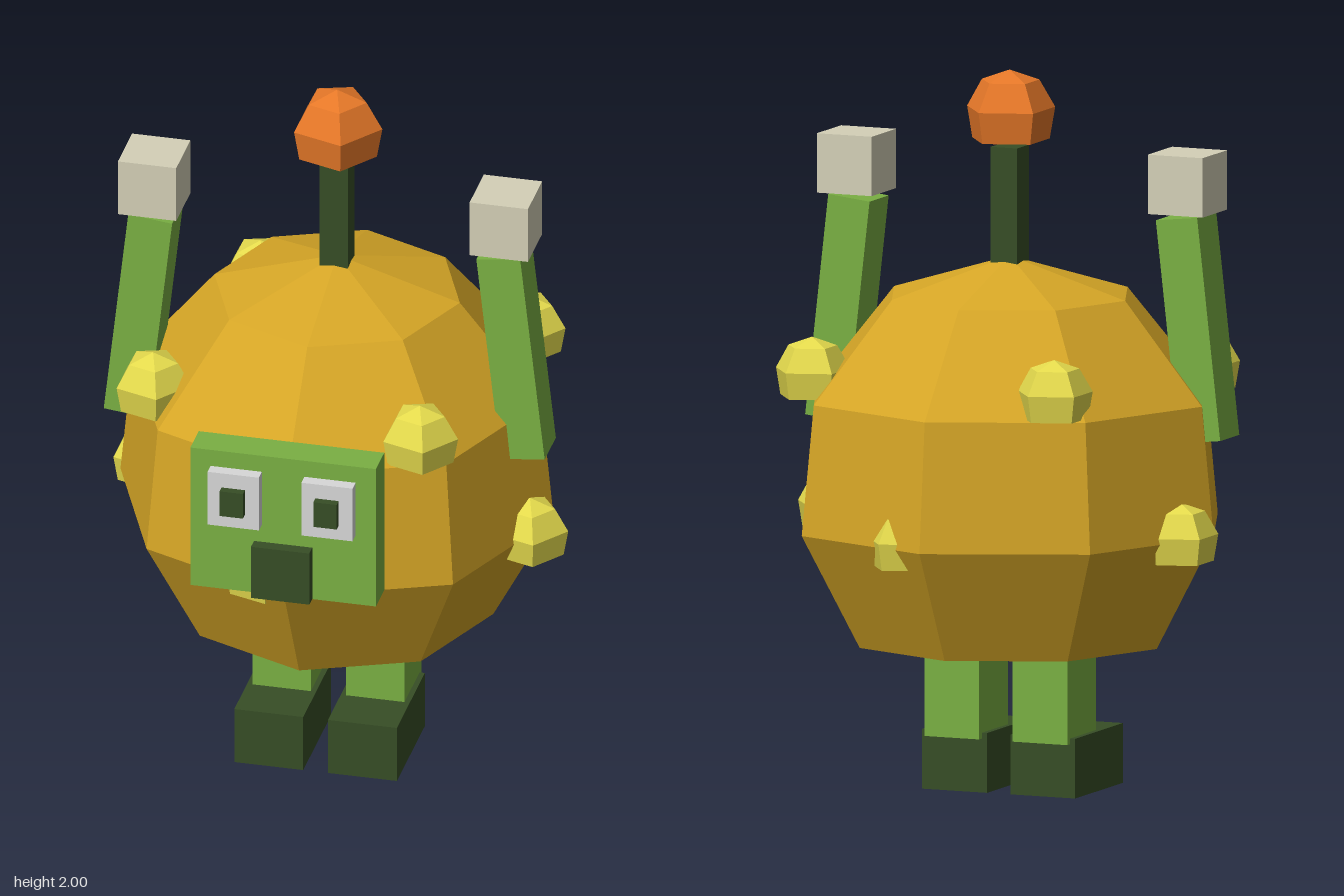
import * as THREE from 'three';

const paint = (name, color, extra = {}) => {
  const m = new THREE.MeshStandardMaterial({ color, flatShading: true, ...extra });
  m.name = name;
  return m;
};

export function createModel() {
  const model = new THREE.Group();
  model.name = 'roundCreature';

  const open = { side: THREE.DoubleSide };
  const gold = paint('gold', 0xd6a626, open);
  const yellow = paint('yellow', 0xe4da4c, open);
  const orange = paint('orange', 0xe67828, open);
  const green = paint('green', 0x7ab043);
  const darkGreen = paint('darkGreen', 0x374e26);
  const cream = paint('cream', 0xd4d0b7);
  const white = paint('white', 0xd8d8d8);

  const CX = -0.0125; // mirror plane of the figure
  const CZ = -0.03;

  const add = (name, geometry, material, x, y, z) => {
    const mesh = new THREE.Mesh(geometry, material);
    mesh.name = name;
    mesh.position.set(x, y, z);
    model.add(mesh);
    return mesh;
  };
  const box = (name, material, [w, h, d], x, y, z) =>
    add(name, new THREE.BoxGeometry(w, h, d), material, x, y, z);

  // Five-sided knob with a pointed top and an open base
  const knob = (name, r, material, x, y, z) =>
    add(name, new THREE.SphereGeometry(r, 5, 3, Math.PI, Math.PI * 2, 0, Math.PI * 2 / 3), material, x, y, z);

  // Eight-sided body, open underneath
  add('body', new THREE.SphereGeometry(0.625, 8, 4, 0, Math.PI * 2, 0, Math.PI * 0.75),
    gold, CX, 0.86, CZ);

  // Antenna
  box('antennaStalk', darkGreen, [0.08, 0.35, 0.08], CX, 1.615, CZ);
  knob('antennaTip', 0.13, orange, CX, 1.872, CZ);

  // Bumps: an upper ring of four and a lower ring of four
  const upper = [[0.32, 0.375], [0.456, -0.314], [-0.33, -0.445], [-0.465, 0.25]];
  const lower = [[0.555, 0.06], [0.086, -0.52], [-0.565, -0.123], [-0.11, 0.44]];
  upper.forEach(([x, z]) => knob('upperBump', 0.11, yellow, x, 1.16, z));
  lower.forEach(([x, z]) => knob('lowerBump', 0.11, yellow, x, 0.735, z));

  // Face plate and mouth
  box('facePlate', green, [0.525, 0.43, 0.097], CX, 0.965, 0.5485);
  box('mouth', darkGreen, [0.165, 0.16, 0.04], CX, 0.831, 0.612);

  // Mirrored parts
  for (const [side, s] of [['left', 1], ['right', -1]]) {
    box(side + 'Eye', white, [0.145, 0.165, 0.04], CX + s * 0.1325, 1.0475, 0.612);
    box(side + 'Pupil', darkGreen, [0.066, 0.077, 0.03], CX + s * 0.1325, 1.0475, 0.64);

    const arm = box(side + 'Arm', green, [0.125, 0.62, 0.13], CX + s * 0.527, 1.305, 0.055);
    arm.rotation.z = s * 0.112;
    box(side + 'Hand', cream, [0.165, 0.165, 0.165], CX + s * 0.4975, 1.7075, 0.0525);

    box(side + 'Leg', green, [0.165, 0.32, 0.195], CX + s * 0.1325, 0.31, -0.027);
    box(side + 'Boot', darkGreen, [0.195, 0.166, 0.325], CX + s * 0.1325, 0.083, 0.0575);
  }

  return model;
}
